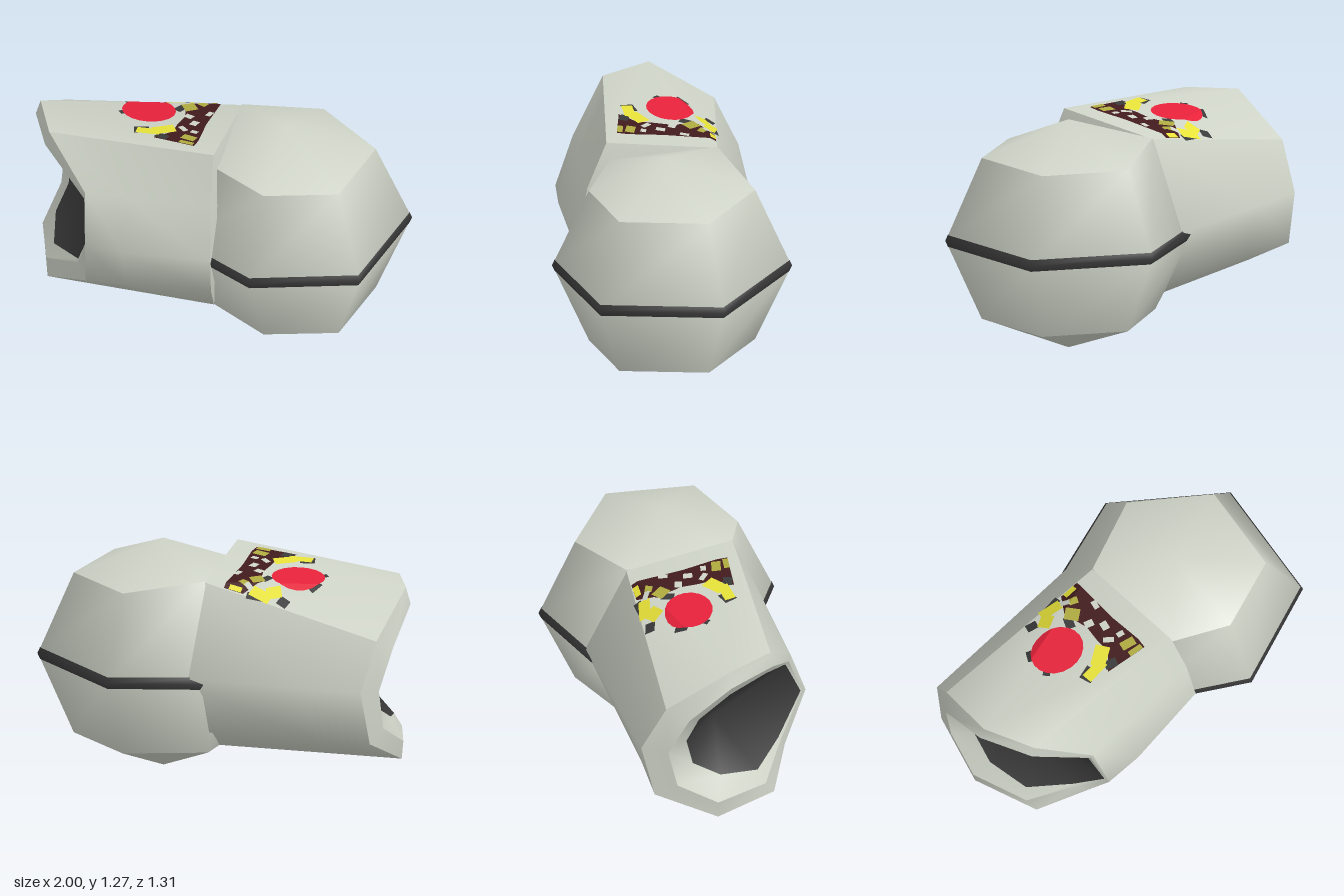
import * as THREE from 'three';
import { mergeVertices } from 'three/addons/utils/BufferGeometryUtils.js';

const mat = (name, color, side = THREE.FrontSide) => {
  const m = new THREE.MeshStandardMaterial({ color, side });
  m.name = name;
  return m;
};

// Skin between successive cross-sections, smooth within one skin
function loft(rings, closed = true) {
  const n = rings[0].length, idx = [];
  const g = new THREE.BufferGeometry();
  g.setAttribute('position', new THREE.Float32BufferAttribute(rings.flat(2), 3));
  for (let r = 0; r < rings.length - 1; r++) {
    for (let i = 0; i < (closed ? n : n - 1); i++) {
      const j = (i + 1) % n, a = r * n, b = a + n;
      idx.push(a + i, a + j, b + j, a + i, b + j, b + i);
    }
  }
  g.setIndex(idx);
  const merged = mergeVertices(g, 1e-5);
  merged.computeVertexNormals();
  return merged;
}

const mix = (p, q, t) => p.map((v, k) => v + (q[k] - v) * t);

// The arm's top folds along a diagonal ridge: gentle in front, steep behind
const fromRidge = ([x, z]) => z - 0.17 + 0.41 * (x + 0.96);
const topY = (x, z) => {
  const s = fromRidge([x, z]);
  return 1.14 + s * (s > 0 ? 0.103 : 0.6);
};

// Part of an outline on one side of the ridge
function clip(pts, sign) {
  const out = [];
  pts.forEach((p, i) => {
    const q = pts[(i + 1) % pts.length];
    const a = sign * fromRidge(p), b = sign * fromRidge(q);
    if (a >= 0) out.push(p);
    if (a * b < 0) out.push(mix(p, q, a / (a - b)));
  });
  return out;
}

export function createModel() {
  const model = new THREE.Group();
  const grey = mat('pale grey', 0xcfd4c8);
  const dark = mat('charcoal', 0x3a3a3a, THREE.DoubleSide);
  const red = mat('red', 0xf2243e, THREE.DoubleSide);
  const yellow = mat('yellow', 0xeae53a, THREE.DoubleSide);
  const olive = mat('olive', 0xb0ac40, THREE.DoubleSide);
  const maroon = mat('maroon', 0x421b1d, THREE.DoubleSide);
  const add = (name, geo, m, parent = model) => {
    const mesh = new THREE.Mesh(geo, m);
    mesh.name = name;
    parent.add(mesh);
  };

  // Six-sided ball, its upper corners drawn up to meet the arm
  const hexRing = (y, pts) => pts.map(([x, z]) => [x, y, z]);
  const small = [[0.83, -0.23], [0.42, -0.46], [0.02, -0.24], [0.05, 0.25], [0.47, 0.43], [0.83, 0.25]];
  const wide = [[1, -0.32], [0.42, -0.655], [-0.14, -0.4], [-0.1, 0.36], [0.47, 0.625], [1, 0.35]];
  const low = hexRing(0.19, small), equator = hexRing(0.635, wide), high = hexRing(1.085, small);
  equator[3][1] = 0.58;
  high[2] = [0.04, 1.145, -0.24];
  high[3] = [0.145, 1.11, 0.33];
  const pole = (y) => low.map(() => [0.415, y, 0.015]);
  add('ballSides', loft([low, equator, high]), grey);
  add('ballTop', loft([high, pole(1.27)]), grey);
  add('ballBottom', loft([pole(0), low]), grey);

  // Thin band round the ball
  const grow = (ring) => ring.map(([x, y, z]) => [0.42 + (x - 0.42) * 1.004, y, z * 1.004]);
  const bandLow = equator.map((p, i) => mix(p, low[i], 0.075));
  const bandHigh = equator.map((p, i) => mix(p, high[i], 0.07));
  add('ballBand', loft([bandLow, equator, bandHigh].map(grow)), dark);

  // Arm: cross-sections at the open end and at the ball, from top back round the front
  const open = [
    [-0.96, 0.93, -0.18], [-0.96, 1.14, 0.17], [-0.8, 1.13, 0.41],
    [-0.52, 0.905, 0.56], [-0.48, 0.63, 0.65], [-0.53, 0.32, 0.53], [-0.8, 0.21, 0.43],
    [-0.97, 0.2, 0.1], [-0.95, 0.37, -0.24], [-0.93, 0.67, -0.31],
  ];
  const joint = [
    [0.04, 1.14, -0.24], [0.04, 1.14, -0.24], [0.14, 1.207, 0.35],
    [0.17, 0.95, 0.45], [0.19, 0.63, 0.505], [0.17, 0.4, 0.45], [0.11, 0.19, 0.28],
    [0.1, 0.19, -0.1], [0.06, 0.32, -0.3], [0.13, 0.66, -0.48],
  ];
  const lip = [
    [-1, 0.87, -0.06], [-0.988, 1.05, 0.17], [-0.82, 1.05, 0.42], [-0.53, 0.86, 0.55],
    [-0.485, 0.63, 0.63], [-0.59, 0.4, 0.5], [-0.83, 0.29, 0.38], [-0.98, 0.3, 0.1],
    [-0.97, 0.43, -0.12], [-0.97, 0.65, -0.17],
  ];
  const bulge = open.map((p, i) => mix(p, joint[i], 0.31));
  bulge[4] = [-0.27, 0.63, 0.625];
  const around = (ring) => [...ring.slice(2), ring[0]];
  add('armSides', loft([open, bulge, joint].map(around), false), grey);
  add('armTop', loft([open.slice(0, 3), joint.slice(0, 3)], false), grey);
  add('armEnd', loft([joint, joint.map(() => [0.2, 0.66, 0.01])]), grey);
  add('mouthRim', loft([lip, open]), grey);

  // Hollow mouth
  const inset = [0.27, 0.22, 0.14, 0.05, 0.02, 0.05, 0.2, 0.32, 0.32, 0.32];
  const hollow = lip.map((p, i) => mix(p, [-0.7, 0.67, 0.18], inset[i]));
  add('mouthLip', loft([hollow, lip]), grey);
  add('mouthHollow', loft([hollow.map(() => [-0.68, 0.66, 0.12]), hollow]), dark);

  // Painted emblem lying on the folded top of the arm
  const emblem = new THREE.Group();
  emblem.name = 'topEmblem';
  model.add(emblem);
  const flat = (name, outline, m, lift) => [1, -1].forEach((sign) => {
    const pts = clip(outline, sign);
    if (pts.length < 3) return;
    const shape = new THREE.Shape(pts.map(([x, z]) => new THREE.Vector2(x, -z)));
    const g = new THREE.ShapeGeometry(shape);
    g.rotateX(-Math.PI / 2);
    const p = g.attributes.position;
    for (let i = 0; i < p.count; i++) p.setY(i, topY(p.getX(i), p.getZ(i)) + lift);
    g.computeVertexNormals();
    add(name, g, m, emblem);
  });
  const disc = Array.from({ length: 20 }, (_, i) => {
    const a = i * Math.PI / 10;
    return [-0.385 + 0.148 * Math.cos(a), 0.032 + 0.128 * Math.sin(a)];
  });
  flat('redDisc', disc, red, 0.005);
  flat('maroonPatch', [[-0.18, -0.22], [-0.07, -0.23], [-0.04, 0.05], [0, 0.24], [0, 0.3],
    [-0.24, 0.3], [-0.17, 0.2], [-0.18, 0.12], [-0.18, 0.02], [-0.21, -0.06], [-0.24, -0.1]], maroon, 0.003);

  // Angled dabs: x, z, length, width, turn
  const dab = (name, m, lift, list) => list.forEach(([x, z, l, w, t]) => {
    const c = Math.cos(t), s = Math.sin(t);
    flat(name, [[-l, -w], [l, -w], [l, w], [-l, w]].map(([u, v]) =>
      [x + (u * c - v * s) / 2, z + (u * s + v * c) / 2]), m, lift);
  });
  dab('charcoalDab', dark, 0.004, [[-0.4, -0.18, 0.06, 0.05, 0.2], [-0.25, -0.21, 0.1, 0.04, -0.2],
    [-0.24, -0.06, 0.05, 0.07, 0.3], [-0.33, 0.25, 0.08, 0.07, -0.4], [-0.2, 0.27, 0.07, 0.05, 0.2],
    [-0.52, -0.03, 0.03, 0.07, 0.4], [-0.5, 0.1, 0.04, 0.05, 0.7]]);
  dab('yellowDab', yellow, 0.006, [[-0.27, -0.19, 0.12, 0.06, 0.1], [-0.33, -0.15, 0.08, 0.07, -0.6],
    [-0.22, 0.2, 0.12, 0.08, -0.7], [-0.29, 0.25, 0.13, 0.06, -0.2], [-0.13, -0.21, 0.07, 0.03, -0.1]]);
  dab('oliveDab', olive, 0.006, [[-0.2, -0.09, 0.08, 0.07, 0.8], [-0.06, 0.23, 0.08, 0.05, 0.1],
    [-0.05, 0.285, 0.08, 0.03, 0], [-0.15, -0.15, 0.05, 0.04, 0.3]]);
  dab('greyFleck', grey, 0.007, [[-0.19, -0.17, 0.05, 0.03, 0.5], [-0.16, 0.01, 0.05, 0.04, 0.2],
    [-0.1, 0.07, 0.04, 0.05, 0.1], [-0.07, -0.06, 0.03, 0.05, 0.1], [-0.13, 0.15, 0.06, 0.03, 0.6],
    [-0.06, 0.16, 0.04, 0.03, 0.1]]);
  return model;
}
